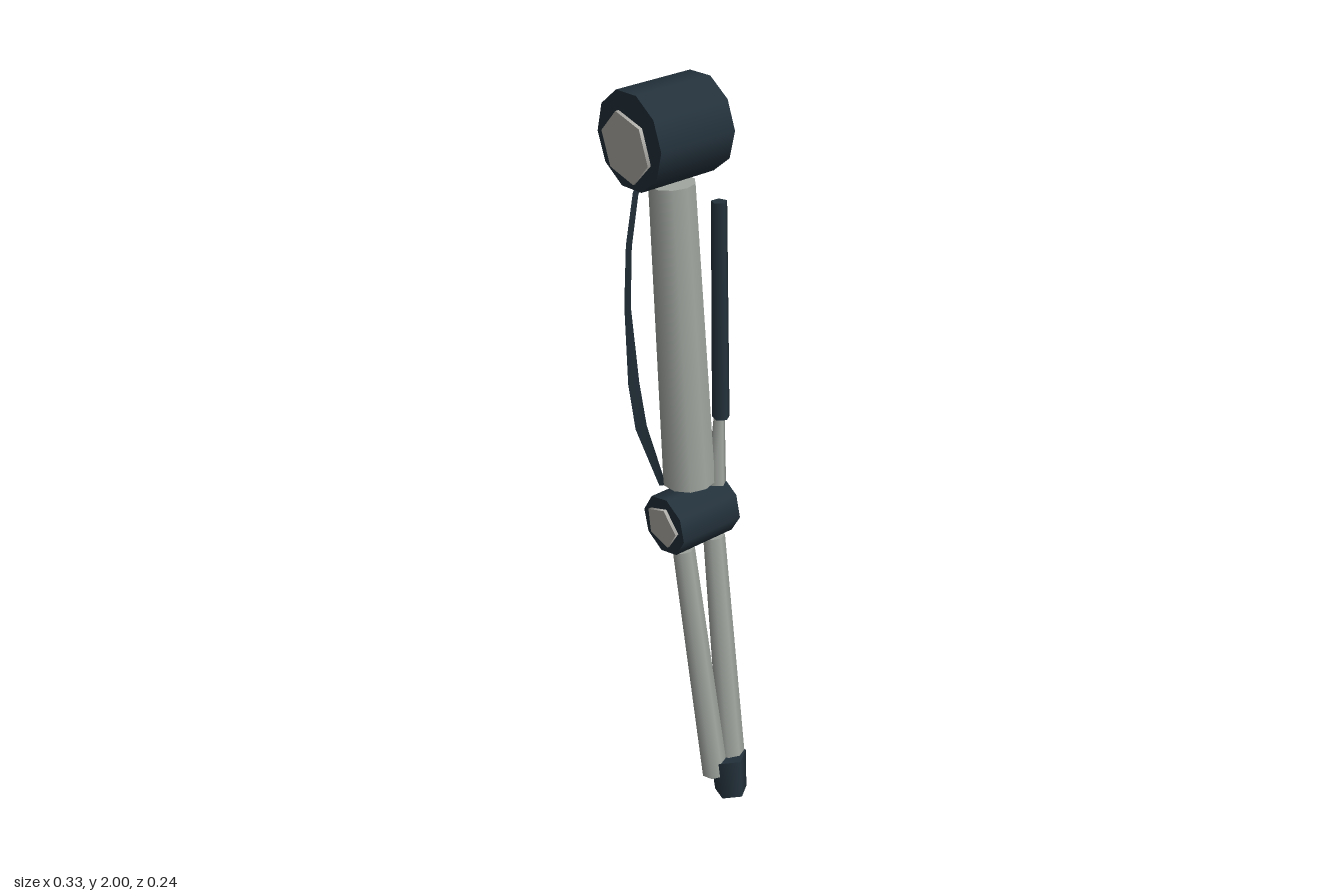
import * as THREE from 'three';

const v = (p) => new THREE.Vector3(...p);

export function createModel() {
  const model = new THREE.Group();
  const darkMetal = new THREE.MeshStandardMaterial({ name: 'dark blue metal', color: 0x24323c });
  const lightMetal = new THREE.MeshStandardMaterial({ name: 'light grey metal', color: 0xa2a7a1 });
  const capMetal = new THREE.MeshStandardMaterial({ name: 'pale cap metal', color: 0xb3b1ac });
  const cableDark = darkMetal.clone();
  cableDark.name = 'dark cable';
  cableDark.side = THREE.DoubleSide;

  // Tapered rod between two points; spin turns its facets about the axis
  function rod(name, from, to, r0, r1, sides, material, spin = 0) {
    const a = v(from), b = v(to);
    const dir = b.clone().sub(a);
    const geometry = new THREE.CylinderGeometry(r1, r0, dir.length(), sides);
    geometry.rotateY(spin);
    const mesh = new THREE.Mesh(geometry, material);
    mesh.name = name;
    mesh.position.copy(a).add(b).multiplyScalar(0.5);
    mesh.quaternion.setFromUnitVectors(new THREE.Vector3(0, 1, 0), dir.normalize());
    model.add(mesh);
    return mesh;
  }

  // Shoulder drum with a cap plate on its outer end
  rod('shoulderDrum', [-0.154, 1.877, -0.005], [0.058, 1.889, -0.005], 0.117, 0.117, 10, darkMetal);
  rod('shoulderCap', [-0.163, 1.862, -0.01], [-0.154, 1.863, -0.01], 0.085, 0.085, 6, capMetal, 0.3);

  // Upper arm tube, side piston and its thin shaft
  rod('upperArm', [0.018, 0.975, 0], [-0.034, 1.76, -0.002], 0.068, 0.057, 10, lightMetal);
  rod('upperPiston', [0.078, 1.15, 0.051], [0.066, 1.708, 0.05], 0.023, 0.02, 5, darkMetal);
  rod('upperPistonShaft', [0.072, 0.968, 0.045], [0.074, 1.16, 0.05], 0.025, 0.014, 5, lightMetal);

  // Elbow drum with a cap plate on both ends
  rod('elbowDrum', [-0.06, 0.867, -0.005], [0.125, 0.877, -0.005], 0.081, 0.081, 8, darkMetal, 0.2);
  rod('elbowCapRight', [-0.069, 0.866, -0.005], [-0.06, 0.867, -0.005], 0.058, 0.058, 5, capMetal);
  rod('elbowCapLeft', [0.125, 0.877, -0.003], [0.134, 0.878, -0.003], 0.058, 0.058, 5, capMetal);

  // Twin forearm tubes with a dark piston behind them
  rod('forearmTubeRight', [0.067, 0.075, 0.054], [-0.004, 0.785, 0.004], 0.036, 0.03, 7, lightMetal);
  rod('forearmTubeLeft', [0.125, 0.08, 0.059], [0.098, 0.788, 0.003], 0.038, 0.03, 7, lightMetal);
  rod('forearmPiston', [0.083, 0.25, -0.002], [0.046, 0.757, -0.048], 0.02, 0.022, 5, darkMetal);

  // Wrist block, a tapered five-sided stub
  rod('wristBlock', [0.109, 0.004, 0.077], [0.105, 0.12, 0.066], 0.046, 0.053, 5, darkMetal);

  // Flat cable bowing out behind the arm, widening towards the elbow: x, y, z, width
  const path = [
    [-0.035, 1.80, -0.085, 0.006],
    [-0.075, 1.72, -0.086, 0.006],
    [-0.103, 1.60, -0.078, 0.007],
    [-0.108, 1.45, -0.080, 0.009],
    [-0.088, 1.24, -0.086, 0.024],
    [-0.062, 1.11, -0.092, 0.026],
    [0.012, 0.92, -0.100, 0.012],
  ];
  const positions = [], index = [];
  path.forEach(([x, y, z, w], i) => {
    const prev = path[Math.max(i - 1, 0)], next = path[Math.min(i + 1, path.length - 1)];
    const side = new THREE.Vector3(prev[1] - next[1], next[0] - prev[0], 0).normalize();
    for (const s of [-0.5, 0.5]) {
      positions.push(x + side.x * w * s, y + side.y * w * s, z + s * 0.014);
    }
    if (i > 0) {
      const k = i * 2;
      index.push(k - 2, k - 1, k, k - 1, k + 1, k);
    }
  });
  const ribbon = new THREE.BufferGeometry();
  ribbon.setAttribute('position', new THREE.Float32BufferAttribute(positions, 3));
  ribbon.setIndex(index);
  ribbon.computeVertexNormals();
  const cable = new THREE.Mesh(ribbon, cableDark);
  cable.name = 'armCable';
  model.add(cable);

  return model;
}
